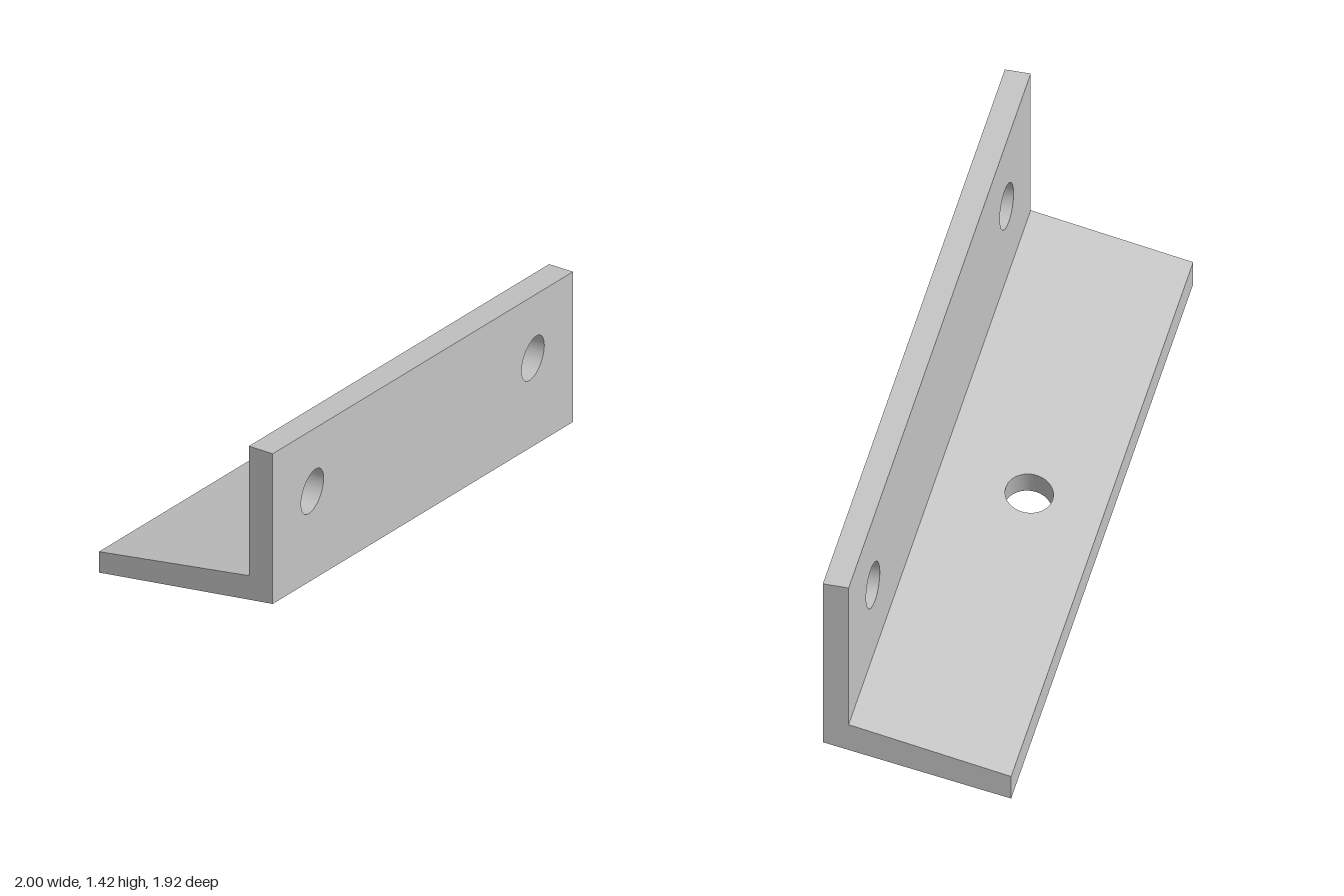
import * as THREE from 'three';
import { toCreasedNormals } from 'three/addons/utils/BufferGeometryUtils.js';

// Sloping angle bracket: t runs along its length in plan, h runs back from its front face
const LEN = 2.123, DROP = 0.69, HEIGHT = 0.625, WALL = 0.089, DEPTH = 0.6475;
const SLOPE = DROP / LEN, TILT = 0.102 / DEPTH;
const flangeThickness = (h) => 0.102 - 0.015 * h / DEPTH;

// Bracket coordinates to model space; y is measured from the high front corner
const place = (t, y, h) => [
  -0.561 + 0.735 * t - 0.678 * h,
  0.793 + y,
  0.957 - 0.678 * t - 0.735 * h,
];

// Extrudes an outline with holes by 1, then moves each vertex by the given rule
function plate(name, corners, holes, rule, material) {
  const shape = new THREE.Shape(corners.map(([x, y]) => new THREE.Vector2(x, y)));
  for (const [x, y, rx, ry, turn] of holes) {
    shape.holes.push(new THREE.Path().absellipse(x, y, rx, ry, 0, Math.PI * 2, true, turn));
  }
  const geo = new THREE.ExtrudeGeometry(shape, { depth: 1, bevelEnabled: false, curveSegments: 24 });
  const pos = geo.attributes.position;
  for (let i = 0; i < pos.count; i++) {
    const x = pos.getX(i), y = pos.getY(i);
    const inHole = holes.some((c) => Math.hypot(x - c[0], y - c[1]) < 0.1);
    pos.setXYZ(i, ...rule(x, y, pos.getZ(i), inHole));
  }
  const mesh = new THREE.Mesh(toCreasedNormals(geo, 0.6), material);
  mesh.name = name;
  return mesh;
}

export function createModel() {
  const group = new THREE.Group();
  group.name = 'angleBracket';
  const steel = new THREE.MeshStandardMaterial({ color: 0xc4c4c4 });
  steel.name = 'grey steel';

  // Upright wall with two level bolt holes; its foot follows the flange's top
  const foot = flangeThickness(0);
  group.add(plate('uprightWall',
    [[0, foot], [LEN, foot - DROP], [LEN, HEIGHT - DROP], [0, HEIGHT]],
    [[0.28, 0.278, 0.08, 0.08, 0], [1.84, -0.232, 0.08, 0.08, 0]],
    (t, y, k) => {
      const h = WALL * (1 - k);
      const atFoot = Math.abs(y + SLOPE * t - foot) < 1e-4;
      return place(t, atFoot ? flangeThickness(h) - TILT * h - SLOPE * t : y, h);
    }, steel));

  // Tilted flange with upright ends and a hole drilled square to its surface
  group.add(plate('lowerFlange',
    [[0, 0], [LEN, 0], [LEN, DEPTH], [0, DEPTH]],
    [[1.052, 0.394, 0.075, 0.08, 0.45]],
    (t, h, k, inHole) => {
      const shift = inHole ? 1 - k : 0;
      const t2 = t - 0.025 * shift, h2 = h - 0.012 * shift;
      return place(t2, -SLOPE * t2 - TILT * h2 + k * flangeThickness(h2), h2);
    }, steel));

  return group;
}
